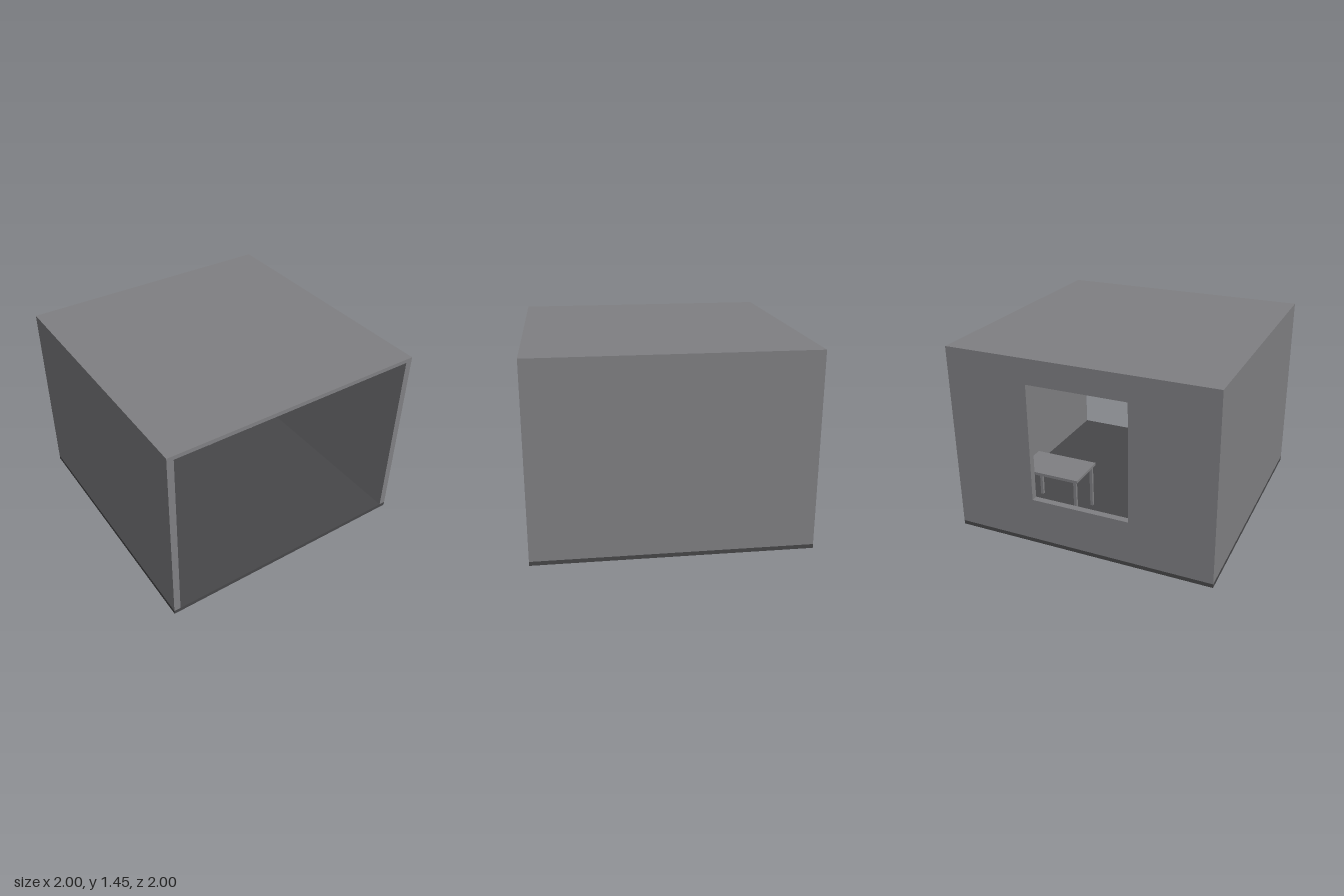
import * as THREE from 'three';

const wallGrey = new THREE.MeshStandardMaterial({ color: 0x808083 });
wallGrey.name = 'wallGrey';
const floorGrey = new THREE.MeshStandardMaterial({ color: 0x474749 });
floorGrey.name = 'floorGrey';

const FLOOR = 0.03, TOP = 1.445, WALL = 0.05, CEILING = 0.03;

function add(parent, name, geometry, material, x = 0, y = 0, z = 0) {
  const mesh = new THREE.Mesh(geometry, material);
  mesh.name = name;
  mesh.position.set(x, y, z);
  parent.add(mesh);
}

function outline(Kind, points) {
  return new Kind(points.map(([x, y]) => new THREE.Vector2(x, y)));
}

function createTable() {
  const table = new THREE.Group();
  table.name = 'table';
  const width = 0.505, depth = 0.315, thick = 0.022, leg = 0.022, height = 0.402 - FLOOR;
  const legHeight = height - thick;
  add(table, 'tableTop', new THREE.BoxGeometry(width, thick, depth), wallGrey, 0, height - thick / 2, 0);
  const legGeometry = new THREE.BoxGeometry(leg, legHeight, leg);
  for (const sx of [-1, 1]) {
    for (const sz of [-1, 1]) {
      add(table, 'tableLeg', legGeometry, wallGrey, sx * 0.225, legHeight / 2, sz * 0.135);
    }
  }
  table.position.set(0.423, FLOOR, -0.543);
  return table;
}

export function createModel() {
  const room = new THREE.Group();
  room.name = 'room';

  // Dark floor slab
  add(room, 'floor', new THREE.BoxGeometry(2, FLOOR, 2), floorGrey, 0, FLOOR / 2, 0);

  // Side walls and ceiling as one arch, open at the front
  const inner = 1 - WALL, under = TOP - CEILING;
  const arch = outline(THREE.Shape, [
    [-1, FLOOR], [-inner, FLOOR], [-inner, under], [inner, under],
    [inner, FLOOR], [1, FLOOR], [1, TOP], [-1, TOP],
  ]);
  add(room, 'sideWallsAndCeiling',
    new THREE.ExtrudeGeometry(arch, { depth: 2 - WALL, bevelEnabled: false }), wallGrey, 0, 0, WALL - 1);

  // Back wall with the window opening
  const back = outline(THREE.Shape, [[-1, FLOOR], [1, FLOOR], [1, TOP], [-1, TOP]]);
  back.holes.push(outline(THREE.Path, [[-0.378, 0.36], [-0.378, 1.257], [0.375, 1.257], [0.375, 0.36]]));
  add(room, 'backWall',
    new THREE.ExtrudeGeometry(back, { depth: WALL, bevelEnabled: false }), wallGrey, 0, 0, -1);

  room.add(createTable());
  return room;
}
